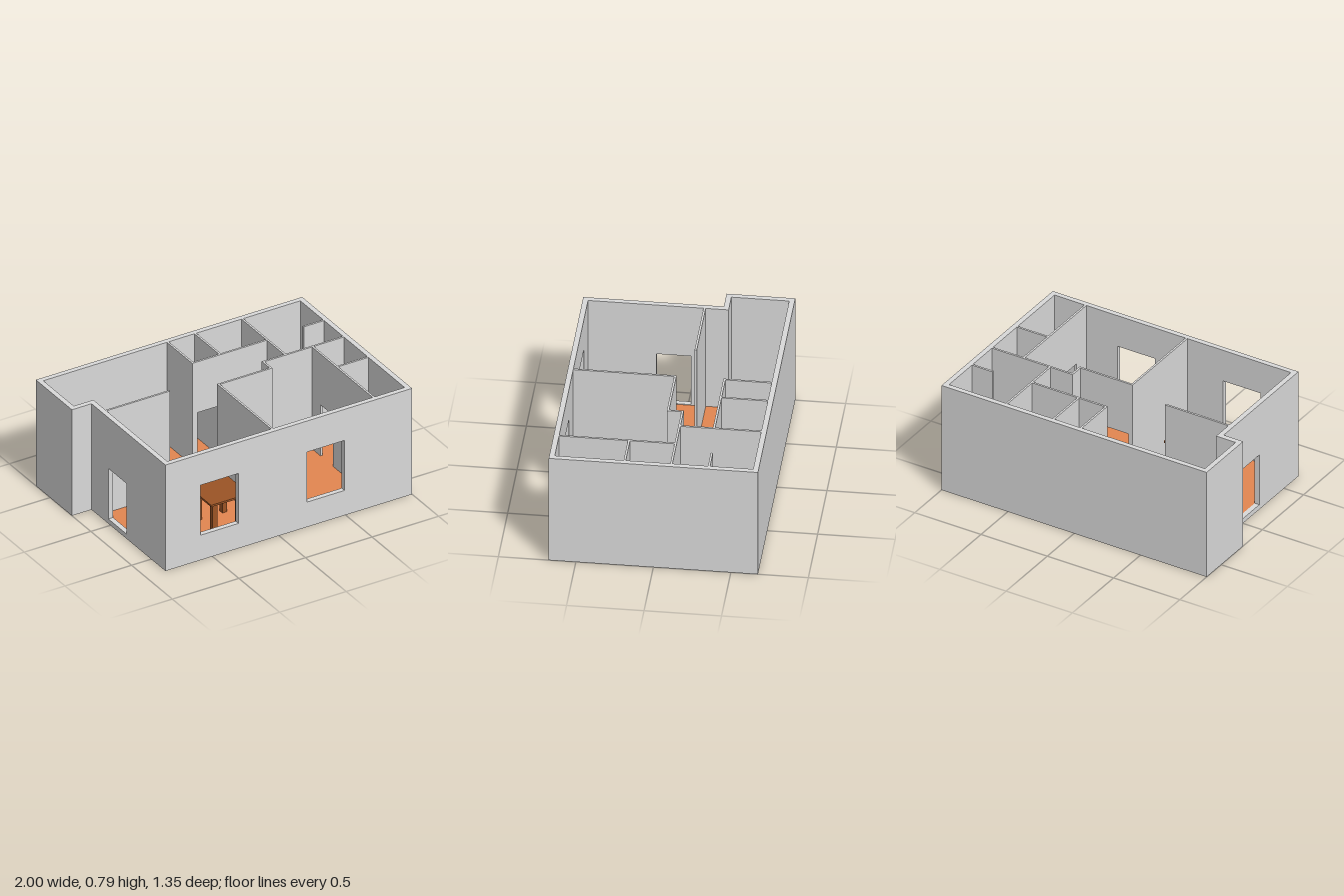
import * as THREE from 'three';

const HEIGHT = 0.788;
const FLOOR = 0.03;
const OUTER = 0.035;
const INNER = 0.014;

export function createModel() {
  const house = new THREE.Group();
  house.name = 'floorPlanHouse';

  const material = (name, color) => {
    const m = new THREE.MeshStandardMaterial({ color });
    m.name = name;
    return m;
  };
  const wallGrey = material('wallGrey', 0xd9d9d9);
  const floorOrange = material('floorTerracotta', 0xe38650);
  const tableBrown = material('tableBrown', 0x9b5425);

  const add = (parent, name, geometry, mat) => {
    const mesh = new THREE.Mesh(geometry, mat);
    mesh.name = name;
    parent.add(mesh);
    return mesh;
  };

  // Upright wall along 'x' or 'z'; each opening is [start, end, bottom, top]
  const wall = (name, axis, from, to, at, thick, openings = []) => {
    const shape = new THREE.Shape();
    shape.moveTo(from, 0).lineTo(to, 0).lineTo(to, HEIGHT).lineTo(from, HEIGHT).closePath();
    for (const [a, b, y0, y1] of openings) {
      const hole = new THREE.Path();
      hole.moveTo(a, y0).lineTo(a, y1).lineTo(b, y1).lineTo(b, y0).closePath();
      shape.holes.push(hole);
    }
    const g = new THREE.ExtrudeGeometry(shape, { depth: thick, bevelEnabled: false });
    g.translate(0, 0, -thick / 2);
    if (axis === 'z') g.rotateY(-Math.PI / 2);
    g.translate(axis === 'z' ? at : 0, 0, axis === 'x' ? at : 0);
    add(house, name, g, wallGrey);
  };

  // Outer walls, centred half a thickness inside the footprint
  const h = OUTER / 2;
  const front = 0.675, back = -0.675, notchX = -0.853, notchZ = -0.232;
  const windowAt = (x) => [x, x + 0.283, 0.185, 0.557];
  wall('frontWall', 'x', notchX, 1, front - h, OUTER, [windowAt(-0.588), windowAt(0.209)]);
  wall('backWall', 'x', -1, 1, back + h, OUTER);
  wall('leftWall', 'z', back + OUTER, front - OUTER, 1 - h, OUTER);
  wall('rightRearWall', 'z', back + OUTER, notchZ - OUTER, -1 + h, OUTER);
  wall('notchWall', 'x', -1, notchX + OUTER, notchZ - h, OUTER);
  wall('rightEntranceWall', 'z', notchZ, front - OUTER, notchX + h, OUTER,
    [[-0.025, 0.2, 0.035, 0.41]]);

  // Inner partitions with door openings
  const door = (a, b) => [a, b, 0.02, 0.41];
  const inX = 1 - OUTER, inBack = back + OUTER, inFront = front - OUTER;
  const partitions = [
    ['x', -0.037, 0.53, -0.335, [door(0.0, 0.155), door(0.35, 0.5)]],
    ['z', inBack, -0.335, -0.03],
    ['z', inBack, -0.335, 0.177],
    ['z', inBack, -0.112, 0.53, [door(-0.31, -0.155)]],
    ['x', 0.812, inX, -0.355],
    ['x', 0.356, inX, -0.112],
    ['z', -0.112, -0.018, 0.363],
    ['x', -0.037, 0.37, -0.018, [door(-0.005, 0.165)]],
    ['z', -0.018, inFront, -0.03],
    ['z', -0.112, inFront, 0.732, [door(0.0, 0.15), door(0.31, 0.52)]],
    ['x', 0.732, inX, 0.189],
    ['x', notchX + OUTER, -0.34, -0.112],
  ];
  partitions.forEach(([axis, a, b, at, doors], i) =>
    wall('partition' + (i + 1), axis, a, b, at, INNER, doors));

  // L-shaped floor: grey slab with a thin coloured covering
  const plan = new THREE.Shape([
    [-inX, inBack], [inX, inBack], [inX, inFront], [notchX + OUTER, inFront],
    [notchX + OUTER, notchZ - OUTER], [-inX, notchZ - OUTER],
  ].map(([x, z]) => new THREE.Vector2(x, -z)));
  const slab = (name, bottom, thick, mat) => {
    const g = new THREE.ExtrudeGeometry(plan, { depth: thick, bevelEnabled: false });
    g.rotateX(-Math.PI / 2).translate(0, bottom, 0);
    add(house, name, g, mat);
  };
  slab('floorSlab', 0, FLOOR - 0.004, wallGrey);
  slab('floorCovering', FLOOR - 0.004, 0.004, floorOrange);

  // Square table with four legs
  const table = new THREE.Group();
  table.name = 'table';
  table.position.set(-0.263, 0, 0.362);
  house.add(table);
  const block = (name, w, ht, d, x, y, z) =>
    add(table, name, new THREE.BoxGeometry(w, ht, d), tableBrown).position.set(x, y, z);
  block('tableTop', 0.285, 0.014, 0.285, 0, 0.258, 0);
  block('tableApron', 0.236, 0.008, 0.236, 0, 0.247, 0);
  for (const sx of [-1, 1]) for (const sz of [-1, 1]) {
    block('tableLeg', 0.036, 0.244 - FLOOR, 0.036, sx * 0.094, (0.244 + FLOOR) / 2, sz * 0.094);
  }

  return house;
}
